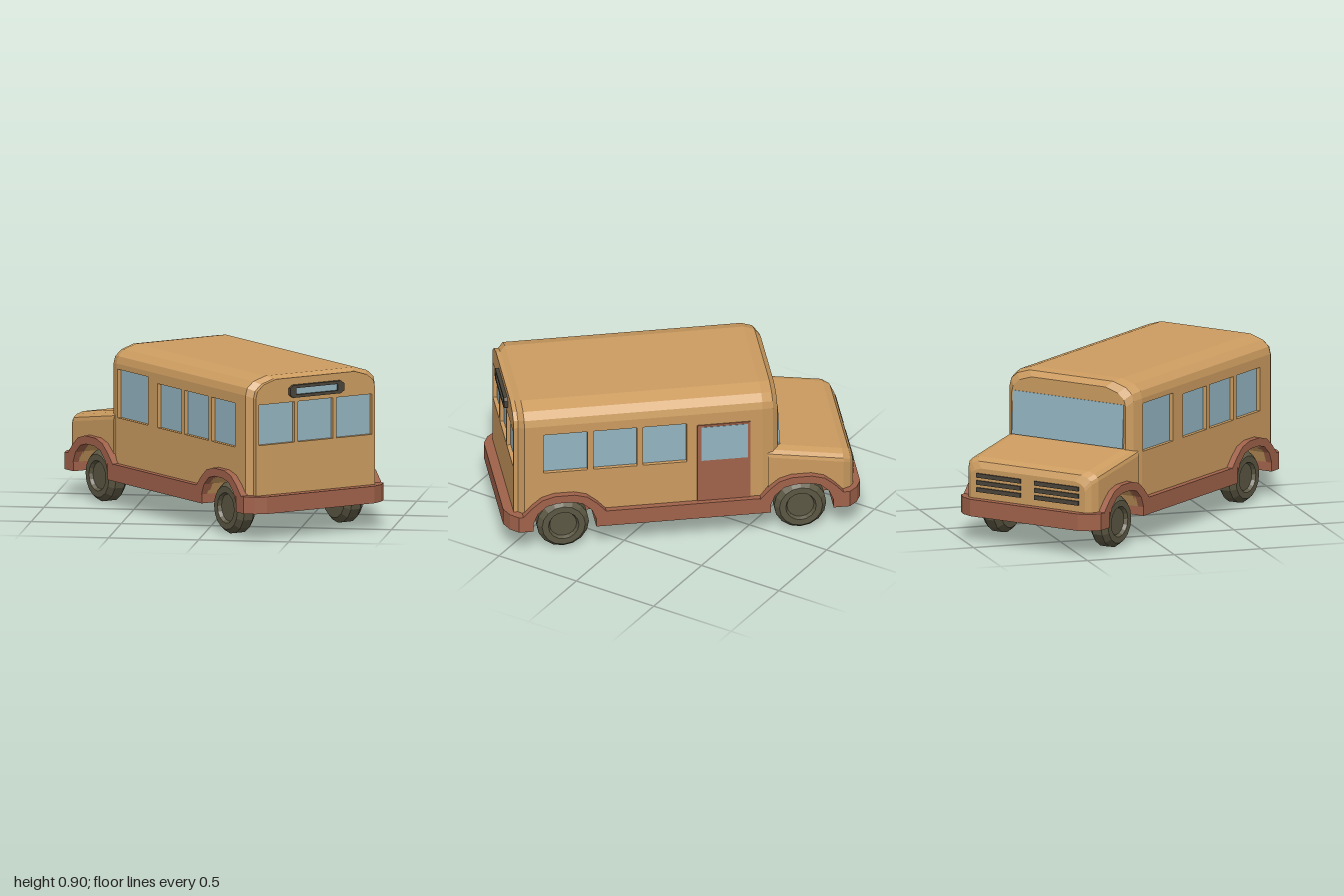
import * as THREE from 'three';

const mat = (color) => new THREE.MeshStandardMaterial({ color, flatShading: true });
const BODY = mat(0xcc9c60), TRIM = mat(0xa0624a), GLASS = mat(0x93b4c0), TYRE = mat(0x5c5743), DARK = mat(0x4a443a);

// Bus frame: x forward, y up, +z the bus's right side
const WHEELS = [0.655, -0.665];
const ARCH = [[0.175, 0.2], [0.15, 0.26], [0.1, 0.305], [0.04, 0.32]];
const RECESS = 0.025, W = 0.42;
const SIDE_WINDOWS = [-0.656, -0.38, -0.104].map((c) => [c - 0.122, c + 0.122, 0.5, 0.745]);
const WINDOWS = { 1: SIDE_WINDOWS, [-1]: [...SIDE_WINDOWS, [0.12, 0.43, 0.5, 0.77]] };

function add(parent, name, geometry, material, x = 0, y = 0, z = 0) {
  const mesh = new THREE.Mesh(geometry, material);
  mesh.name = name;
  mesh.position.set(x, y, z);
  parent.add(mesh);
  return mesh;
}
const box = (x, y, z) => new THREE.BoxGeometry(x, y, z);
const extrude = (shape, depth) => new THREE.ExtrudeGeometry(shape, { depth, bevelEnabled: false });
const shapeOf = (pts) => new THREE.Shape(pts.map(([x, y]) => new THREE.Vector2(x, y)));
const rectHole = (x0, x1, y0, y1) => new THREE.Path([[x0, y0], [x1, y0], [x1, y1], [x0, y1]].map(([x, y]) => new THREE.Vector2(x, y)));

// Height of the lower body edge, raised over each wheel
function sill(x) {
  const d = Math.min(...WHEELS.map((c) => Math.abs(x - c)));
  if (d >= ARCH[0][0]) return 0.2;
  for (let i = 0; i < 3; i++) {
    const [d0, y0] = ARCH[i], [d1, y1] = ARCH[i + 1];
    if (d >= d1) return y0 + (y1 - y0) * (d0 - d) / (d0 - d1);
  }
  return 0.32;
}

// Half of a cross-section, roof to floor, as [z, y]
function halfSection(x, w, h, k, side) {
  const win = WINDOWS[side].find(([a, b]) => x > a && x < b);
  const flat = Math.min(0.5, h - 0.11 * k);
  const [y0, y1, r] = win ? [win[2], win[3], RECESS] : [flat, flat, 0];
  const s = sill(x);
  return [[w - 0.13 * k, h], [w - 0.05 * k, h - 0.025 * k], [w - 0.01 * k, h - 0.06 * k], [w, h - 0.1 * k],
    [w, y1], [w - r, y1], [w - r, y0], [w, y0], [w, s], [0.27, s], [0.27, 0.2]];
}

// Loft through stations [x, half width, roof height], with wheel wells and sunken windows
function bodyLoft(stations, k) {
  const x0 = stations[0][0], x1 = stations.at(-1)[0], e = 1e-4;
  const xs = new Set(stations.map((s) => s[0]));
  for (const c of WHEELS) for (const [d] of ARCH) xs.add(c - d).add(c + d);
  for (const side of [1, -1]) for (const [a, b] of WINDOWS[side]) xs.add(a - e).add(a + e).add(b - e).add(b + e);
  const rings = [...xs].filter((x) => x >= x0 && x <= x1).sort((a, b) => a - b).map((x) => {
    const j = Math.max(1, stations.findIndex((s) => s[0] >= x));
    const a = stations[j - 1], b = stations[j], t = (x - a[0]) / (b[0] - a[0]);
    const w = a[1] + (b[1] - a[1]) * t, h = a[2] + (b[2] - a[2]) * t;
    const right = halfSection(x, w, h, k, 1);
    const left = halfSection(x, w, h, k, -1).map(([z, y]) => [-z, y]).reverse();
    return [...right, ...left].map(([z, y]) => [x, y, z]);
  });
  const n = rings[0].length, pos = [], last = rings.length - 1;
  const tri = (...p) => p.forEach((v) => pos.push(...v));
  for (let i = 0; i < last; i++) for (let j = 0; j < n; j++) {
    const m = (j + 1) % n, a = rings[i][j], b = rings[i][m], c = rings[i + 1][j], d = rings[i + 1][m];
    tri(a, b, c);
    tri(b, d, c);
  }
  for (let j = 0; j < n; j++) {
    const m = (j + 1) % n;
    tri([x0, 0.4, 0], rings[0][m], rings[0][j]);
    tri([x1, 0.4, 0], rings[last][j], rings[last][m]);
  }
  const g = new THREE.BufferGeometry();
  g.setAttribute('position', new THREE.Float32BufferAttribute(pos, 3));
  g.computeVertexNormals();
  return g;
}

export function createModel() {
  const model = new THREE.Group();
  const bus = new THREE.Group();
  bus.name = 'bus';
  bus.rotation.y = 2.276;
  model.add(bus);

  // Cabin and hood
  add(bus, 'cabin', bodyLoft([[-0.915, 0.388, 0.885], [-0.885, W, 0.9], [0.44, W, 0.9],
    [0.5, 0.402, 0.89], [0.53, 0.37, 0.86]], 1), BODY);
  add(bus, 'hood', bodyLoft([[0.47, W, 0.535], [0.89, W, 0.468], [0.93, 0.4, 0.45], [0.95, 0.37, 0.415]], 0.5), BODY);

  // Rear wall with three window openings
  const half = [[0.388, 0.2], [0.388, 0.785], [0.378, 0.825], [0.338, 0.86], [0.258, 0.885]];
  const wall = shapeOf([...half, ...half.map(([x, y]) => [-x, y]).reverse()]);
  for (const c of [-0.252, 0, 0.252]) {
    wall.holes.push(rectHole(c - 0.115, c + 0.115, 0.525, 0.75));
    add(bus, 'rearWindow', box(0.004, 0.225, 0.23), GLASS, -0.916, 0.6375, c);
  }
  add(bus, 'rearWall', extrude(wall, 0.027).rotateY(-Math.PI / 2), BODY, -0.913);

  // Framed panel above the rear windows
  const frame = shapeOf([[-0.175, 0.79], [-0.155, 0.775], [0.155, 0.775], [0.175, 0.79],
    [0.175, 0.83], [0.155, 0.845], [-0.155, 0.845], [-0.175, 0.83]]);
  frame.holes.push(rectHole(-0.135, 0.135, 0.792, 0.828));
  add(bus, 'rearPanelFrame', extrude(frame, 0.025).rotateY(-Math.PI / 2), DARK, -0.935);
  add(bus, 'rearPanelGlass', box(0.008, 0.036, 0.27), GLASS, -0.942, 0.81, 0);

  // Glass
  for (const side of [1, -1]) for (const [a, b, y0, y1] of WINDOWS[side]) {
    add(bus, 'sideWindow', box(b - a, y1 - y0, 0.006), GLASS, (a + b) / 2, (y0 + y1) / 2, side * (W - RECESS));
  }
  add(bus, 'windshield', box(0.012, 0.245, 0.72), GLASS, 0.534, 0.65, 0).rotation.z = 0.05;

  // Entrance door on the right side
  add(bus, 'door', box(0.296, 0.485, 0.012), TRIM, 0.224, 0.4875, W);
  add(bus, 'doorWindow', box(0.256, 0.215, 0.012), GLASS, 0.228, 0.61, W + 0.002);

  // Grille slats
  for (const z of [-0.188, 0.188]) for (const y of [0.295, 0.335, 0.375]) {
    add(bus, 'grilleSlat', box(0.016, 0.024, 0.285), DARK, 0.952, y, z);
  }

  // Skirt with bumper ends and wheel notches
  const edge = [[0.993, 0.35], [0.965, 0.412], [0.92, 0.455]];
  for (const c of WHEELS) edge.push([c + 0.175, 0.455], [c + 0.175, 0.27], [c - 0.175, 0.27], [c - 0.175, 0.455]);
  edge.push([-0.92, 0.455], [-0.965, 0.412], [-0.993, 0.35]);
  const plan = shapeOf([...edge, ...edge.map(([x, z]) => [x, -z]).reverse()]);
  add(bus, 'skirt', extrude(plan, 0.095).rotateX(-Math.PI / 2), TRIM, 0, 0.15, 0);

  // Wheel arches and wheels
  const outer = [[0.235, 0.24], [0.18, 0.3], [0.125, 0.345], [0.055, 0.365]];
  const inner = [[0.175, 0.24], [0.175, 0.2], ...ARCH.slice(1)];
  const flip = (pts) => pts.map(([x, y]) => [-x, y]).reverse();
  const archGeo = extrude(shapeOf([...outer, ...flip(outer), ...inner.map(([x, y]) => [-x, y]), ...inner.slice().reverse()]), 0.055);
  const profile = [[0, 0], [0.115, 0], [0.145, 0.03], [0.145, 0.09], [0.12, 0.12], [0.085, 0.12], [0.075, 0.1], [0, 0.1]];
  const wheelGeo = new THREE.LatheGeometry(profile.map(([r, y]) => new THREE.Vector2(r, y)), 16);
  for (const x of WHEELS) for (const side of [1, -1]) {
    add(bus, 'wheelArch', archGeo, TRIM, x, 0, side > 0 ? 0.402 : -0.457);
    add(bus, 'wheel', wheelGeo, TYRE, x, 0.145, side * 0.29).rotation.x = side * Math.PI / 2;
  }
  return model;
}
